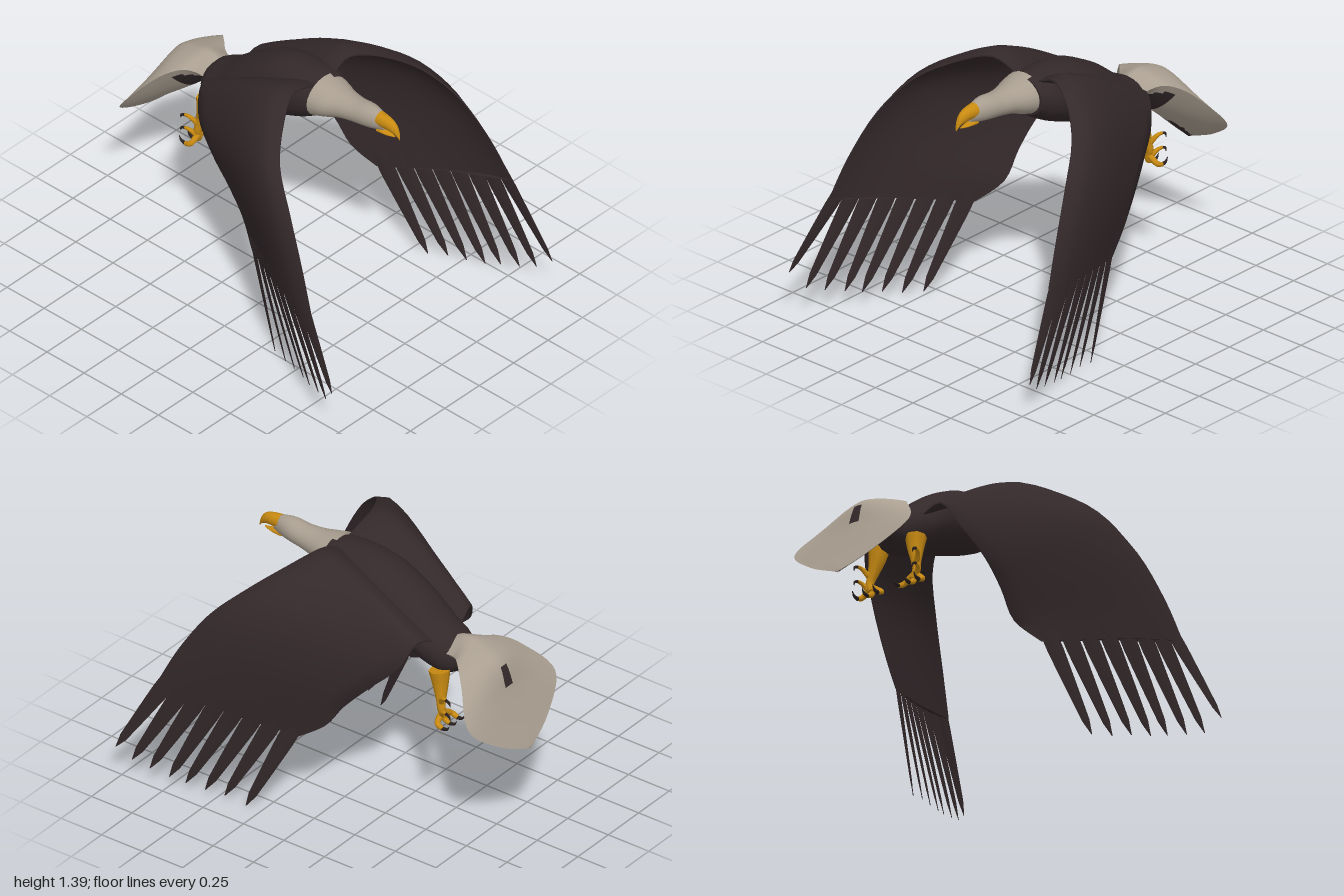
import * as THREE from 'three';
import { toCreasedNormals } from 'three/addons/utils/BufferGeometryUtils.js';

const material = (name, color) => Object.assign(new THREE.MeshStandardMaterial({ color }), { name });
const brown = material('dark brown plumage', 0x33282a);
const white = material('pale plumage', 0xa99e90);
const yellow = material('yellow skin', 0xc98b12);
const claw = material('dark claw', 0x29211f);
const V = (x, y, z) => new THREE.Vector3(x, y, z);
const CX = 0.05;

// Closed skin over a list of equal-length rings; pick(centre, j) selects a material index
function loft(rings, pick = () => 0) {
  const n = rings[0].length, pts = rings.flat(), tris = [[], []];
  const add = (m, a, b, c) => tris[m].push([a, b, c]);
  for (let i = 0; i < rings.length - 1; i++) {
    for (let j = 0; j < n; j++) {
      const a = i * n + j, b = i * n + (j + 1) % n, c = a + n, d = b + n;
      const mid = V(0, 0, 0).add(pts[a]).add(pts[b]).add(pts[c]).add(pts[d]).multiplyScalar(0.25);
      const m = pick(mid, j);
      add(m, a, c, b);
      add(m, b, c, d);
    }
  }
  const ends = [0, (rings.length - 1) * n];
  ends.forEach((start, e) => {
    const centre = V(0, 0, 0);
    for (let j = 0; j < n; j++) centre.addScaledVector(pts[start + j], 1 / n);
    const k = pts.push(centre) - 1;
    for (let j = 0; j < n; j++) {
      const a = start + j, b = start + (j + 1) % n;
      if (e) add(0, k, b, a); else add(0, k, a, b);
    }
  });
  // turn the skin outward whichever way the rings run
  let volume = 0;
  const all = tris.flat();
  for (const [a, b, c] of all) volume += pts[a].dot(V(0, 0, 0).crossVectors(pts[b], pts[c]));
  if (volume < 0) all.forEach((t) => t.reverse());
  const geo = new THREE.BufferGeometry().setFromPoints(pts);
  geo.setIndex(all.flat());
  geo.addGroup(0, tris[0].length * 3, 0);
  if (tris[1].length) geo.addGroup(tris[0].length * 3, tris[1].length * 3, 1);
  return toCreasedNormals(geo, 0.9);
}

// Smoothly subdivide rows of numbers
function refine(rows, steps) {
  const out = [], at = (i) => rows[Math.min(Math.max(i, 0), rows.length - 1)];
  for (let i = 0; i < rows.length - 1; i++) {
    for (let s = 0; s < steps; s++) {
      const t = s / steps;
      out.push(rows[i].map((p1, k) => {
        const p0 = at(i - 1)[k], p2 = at(i + 1)[k], p3 = at(i + 2)[k];
        return p1 + 0.5 * t * (p2 - p0 + t * (2 * p0 - 5 * p1 + 4 * p2 - p3 + t * (3 * (p1 - p2) + p3 - p0)));
      }));
    }
  }
  out.push(rows.at(-1));
  return out;
}

// Oval sections along z: [z, top, bottom, halfWidth]
function ovals(rows, cx, steps = 4) {
  return loft(refine(rows, steps).map(([z, top, bot, hw]) => Array.from({ length: 20 }, (_, j) => {
    const a = j / 20 * Math.PI * 2;
    return V(cx + hw * Math.sin(a), (top + bot) / 2 + (top - bot) / 2 * Math.cos(a), z);
  })));
}

// Tapering tube through rows [x, y, z, radius]
function taper(rows) {
  const fine = refine(rows, 4), pts = fine.map((r) => V(r[0], r[1], r[2]));
  return loft(pts.map((p, i) => {
    const dir = pts[Math.min(i + 1, pts.length - 1)].clone().sub(pts[Math.max(i - 1, 0)]).normalize();
    const u = V(1, 0, 0.05).addScaledVector(dir, -dir.x).normalize();
    const w = V(0, 0, 0).crossVectors(dir, u).normalize();
    return Array.from({ length: 8 }, (_, j) => {
      const a = j / 8 * Math.PI * 2, r = fine[i][3];
      return p.clone().addScaledVector(u, r * Math.cos(a)).addScaledVector(w, r * Math.sin(a));
    });
  }));
}

function createModel() {
  const model = new THREE.Group();
  model.name = 'flyingEagle';
  const add = (name, geo, mat, parent = model) => {
    const mesh = new THREE.Mesh(geo, mat);
    mesh.name = name;
    parent.add(mesh);
  };

  // Body, head and beak
  add('body', ovals([[0.21, 1.35, 1.15, 0.12], [0.1, 1.365, 1.08, 0.155], [-0.1, 1.345, 1, 0.175],
    [-0.3, 1.245, 0.93, 0.165], [-0.45, 1.13, 0.87, 0.15], [-0.55, 1.075, 0.865, 0.125], [-0.63, 1.0, 0.93, 0.03]], CX), brown);
  add('head', ovals([[0.18, 1.36, 1.14, 0.13], [0.25, 1.345, 1.165, 0.115], [0.32, 1.335, 1.19, 0.085],
    [0.4, 1.333, 1.205, 0.068], [0.48, 1.343, 1.215, 0.06], [0.54, 1.338, 1.225, 0.044], [0.59, 1.32, 1.24, 0.024]], 0.03), white);
  add('upperBeak', ovals([[0.555, 1.334, 1.255, 0.037], [0.62, 1.325, 1.256, 0.028], [0.66, 1.305, 1.248, 0.018],
    [0.68, 1.27, 1.235, 0.01], [0.688, 1.24, 1.225, 0.003]], 0.03), yellow);
  add('lowerBeak', ovals([[0.55, 1.25, 1.215, 0.026], [0.61, 1.24, 1.22, 0.018], [0.655, 1.235, 1.228, 0.004]], 0.03), yellow);

  // Fan tail: [topY, topZ, halfWidth, edgeY, edgeZ, bottomY, bottomZ]
  const q = 12;
  const tailRows = refine([[1.05, -0.5, 0.1, 1, -0.5, 0.93, -0.5], [1.09, -0.6, 0.11, 1.02, -0.6, 0.93, -0.6],
    [1.08, -0.69, 0.165, 1.03, -0.67, 0.87, -0.67], [1.02, -0.82, 0.25, 0.97, -0.76, 0.79, -0.76],
    [0.87, -0.877, 0.355, 0.81, -0.885, 0.69, -0.88], [0.73, -0.935, 0.2, 0.67, -0.96, 0.635, -0.935],
    [0.585, -1, 0.01, 0.58, -1, 0.575, -0.997]], 6);
  const tail = loft(tailRows.map(([ty, tz, hw, ey, ez, by, bz]) => Array.from({ length: 4 * q }, (_, j) => {
    const f = j / q, side = f < 2 ? 1 : -1, lower = f >= 1 && f < 3;
    const t = f < 1 ? f : f < 2 ? 2 - f : f < 3 ? f - 2 : 4 - f, k = Math.pow(t, 1.5);
    return V(0.055 + side * hw * t, (lower ? by : ty) * (1 - k) + ey * k, (lower ? bz : tz) * (1 - k) + ez * k);
  })), (p, j) => {
    const x = Math.abs(p.x - 0.055);
    if (j < q || j >= 3 * q) return x < 0.022 && p.z < -0.83 && p.z > -0.872 ? 1 : 0;
    return (x < 0.17 && p.z > -0.71 && p.y > 0.84 && p.y < 0.98) || (x < 0.04 && p.y < 0.73) ? 1 : 0;
  });
  add('tail', tail, [white, brown]);

  // Wings: rows of leading point, trailing point, camber, outward angle, half thickness
  const lead = [[0.1, 1.33, 0.18], [0.22, 1.375, 0.18], [0.38, 1.325, 0.26], [0.53, 1.22, 0.39],
    [0.63, 1.06, 0.55], [0.695, 0.84, 0.69], [0.735, 0.63, 0.79]];
  const trail = [[0.1, 1.02, -0.48], [0.26, 1.09, -0.46], [0.345, 0.96, -0.4], [0.41, 0.83, -0.27],
    [0.455, 0.7, -0.15], [0.475, 0.56, -0.05], [0.52, 0.47, 0.08]];
  const trailRight = [0.04, 0.17, 0.255, 0.3, 0.31, 0.315, 0.39];
  const camber = [0.01, 0.04, 0.06, 0.075, 0.075, 0.06, 0.04];
  const angle = [90, 70, 55, 42, 28, 15, 10], thick = [0.03, 0.03, 0.026, 0.022, 0.018, 0.013, 0.008];
  const tipZ = [1, 0.92, 0.83, 0.73, 0.65, 0.55, 0.45, 0.34];
  const tipY = { 1: [0.2, 0.14, 0.11, 0.085, 0.065, 0.05, 0.04, 0.01], '-1': [0.28, 0.18, 0.15, 0.12, 0.1, 0.08, 0.05, 0.03] };
  for (const s of [1, -1]) {
    const wing = new THREE.Group();
    wing.name = s > 0 ? 'leftWing' : 'rightWing';
    model.add(wing);
    const rows = refine(lead.map((l, i) => {
      const lx = s > 0 ? l[0] : -l[0] + (i === 0 ? 0.08 : i < 3 ? 0.03 : 0.01);
      return [lx, l[1], l[2], s > 0 ? trail[i][0] : -trailRight[i], trail[i][1], trail[i][2], camber[i], angle[i], thick[i]];
    }), 4);
    const point = (r, t, face) => {
      const a = r[7] * Math.PI / 180;
      const off = r[6] * Math.sin(Math.PI * Math.pow(t, 0.7)) + face * r[8] * Math.sqrt(Math.sin(Math.PI * Math.pow(t, 0.5)) + 0.02);
      return V(r[0], r[1], r[2]).lerp(V(r[3], r[4], r[5]), t).add(V(s * Math.cos(a) * off, Math.sin(a) * off, 0));
    };
    const n = 12;
    add('wingPanel', loft(rows.map((r) => Array.from({ length: 2 * n }, (_, j) =>
      j < n ? point(r, j / (n - 1), 1) : point(r, (2 * n - 1 - j) / (n - 1), -1)))), brown, wing);

    // Separate flight feathers fanned along the wing tip
    const last = rows.at(-1);
    for (let k = 0; k < 8; k++) {
      const root = point(last, (k + 0.5) / 8, 0);
      const tip = V(s > 0 ? 0.8 - 0.19 * k / 7 : -0.8 + 0.3 * k / 7, tipY[s][k], tipZ[k]);
      const dir = tip.clone().sub(root).normalize();
      const wide = point(last, k / 8, 0).sub(point(last, (k + 1) / 8, 0));
      wide.addScaledVector(dir, -wide.dot(dir)).normalize();
      const flat = V(0, 0, 0).crossVectors(dir, wide);
      add('flightFeather', loft([[-0.15, 0.045], [0.1, 0.045], [0.5, 0.033], [0.85, 0.021], [1, 0.002]].map(([u, w]) => {
        const c = root.clone().lerp(tip, u), h = 0.006 * (1.1 - u * 0.8);
        return [[w, 0], [0, h], [-w, 0], [0, -h]].map(([a, b]) => c.clone().addScaledVector(wide, a).addScaledVector(flat, b));
      })), brown, wing);
    }
  }

  // Legs with toes and hooked claws
  for (const s of [1, -1]) {
    const leg = new THREE.Group();
    leg.name = s > 0 ? 'leftLeg' : 'rightLeg';
    model.add(leg);
    const tube = (name, rows, mat) => add(name, taper(rows.map(([x, y, z, r]) => [CX + s * (x - CX), y, z, r])), mat, leg);
    tube('shank', [[0.165, 0.91, -0.52, 0.055], [0.17, 0.84, -0.53, 0.042], [0.185, 0.76, -0.545, 0.026],
      [0.195, 0.71, -0.555, 0.021], [0.18, 0.665, -0.56, 0.02]], yellow);
    for (const d of [-0.06, 0, 0.055]) {
      const x = 0.18 + d;
      tube('toe', [[0.185, 0.69, -0.555, 0.018], [x, 0.65, -0.56, 0.015], [x + d * 0.1, 0.632, -0.595, 0.012]], yellow);
      tube('claw', [[x + d * 0.1, 0.632, -0.592, 0.011], [x + d * 0.1, 0.637, -0.622, 0.007], [x + d * 0.1, 0.66, -0.638, 0.001]], claw);
    }
    for (const y of [0.7, 0.78]) {
      tube('backToe', [[0.195, y - 0.03, -0.555, 0.016], [0.222, y + 0.012, -0.58, 0.011], [0.23, y + 0.018, -0.61, 0.008]], yellow);
      tube('backClaw', [[0.23, y + 0.018, -0.608, 0.008], [0.232, y + 0.008, -0.63, 0.006], [0.23, y - 0.015, -0.637, 0.001]], claw);
    }
  }
  return model;
}

export { createModel };
